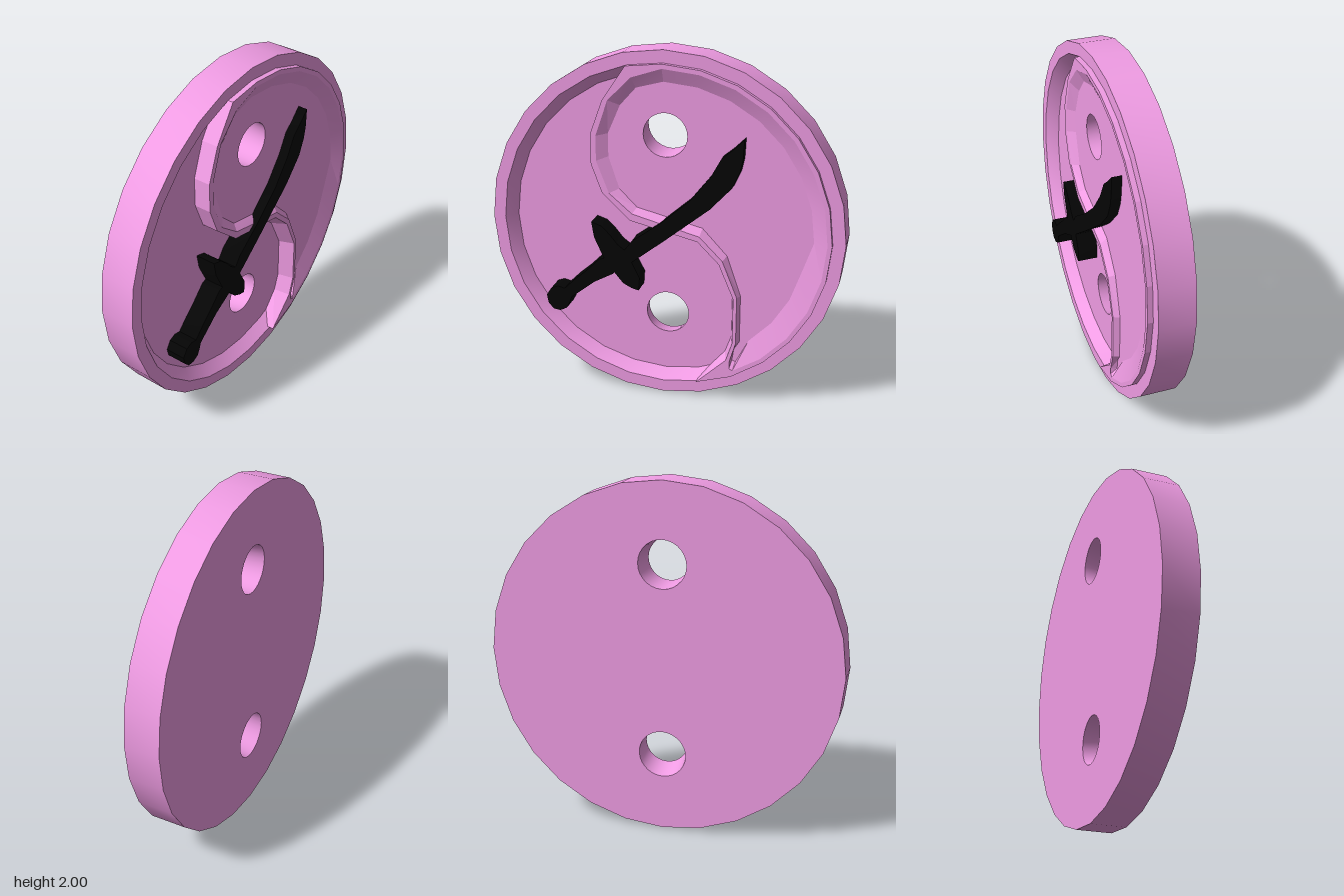
import * as THREE from 'three';
import { toCreasedNormals } from 'three/addons/utils/BufferGeometryUtils.js';

const SIDES = 28, STEP = (2 * Math.PI) / SIDES;
const BACK = -0.125, FLOOR = 0.01, HIGH_FLOOR = 0.07, RIM = 0.075, LIP = 0.105, TOP = 0.125;

// Point on a circle, counted in steps counter-clockwise from the bottom
const polar = (r, j, x = 0, y = 1) => [x + r * Math.sin(j * STEP), y - r * Math.cos(j * STEP)];
const circle = (r, x, y) => Array.from({ length: SIDES }, (_, j) => polar(r, j, x, y));
const toShape = (pts, holes = []) => {
  const shape = new THREE.Shape(pts.map((p) => new THREE.Vector2(...p)));
  shape.holes = holes.map((h) => new THREE.Path(h.map((p) => new THREE.Vector2(...p))));
  return shape;
};
const flat = (pts, holes, z) => new THREE.ShapeGeometry(toShape(pts, holes)).translate(0, 0, z);

// Joins closed counter-clockwise loops of equal length, each at its own depth
function loft(loops, depths) {
  const pos = [], n = loops[0].length;
  for (let k = 0; k < loops.length - 1; k++) {
    for (let i = 0; i < n; i++) {
      const j = (i + 1) % n;
      const a = [...loops[k][i], depths[k]], b = [...loops[k][j], depths[k]];
      const c = [...loops[k + 1][j], depths[k + 1]], d = [...loops[k + 1][i], depths[k + 1]];
      pos.push(...a, ...b, ...c, ...a, ...c, ...d);
    }
  }
  const geo = new THREE.BufferGeometry();
  geo.setAttribute('position', new THREE.Float32BufferAttribute(pos, 3));
  geo.computeVertexNormals();
  return geo;
}

export function createModel() {
  const group = new THREE.Group();
  const pink = new THREE.MeshStandardMaterial({ color: 0xf09ce4 });
  const black = new THREE.MeshStandardMaterial({ color: 0x050505 });
  const add = (name, geo, mat, crease = 0.4) => {
    const mesh = new THREE.Mesh(toCreasedNormals(geo, crease), mat);
    mesh.name = name;
    group.add(mesh);
  };

  // Disc side, rim and the rim's sloping inner wall
  add('rim', loft([circle(1), circle(1), circle(0.93), circle(0.875)], [BACK, RIM, RIM, FLOOR]), pink);

  // Two holes, a little wider at the back
  const backHoles = [circle(0.135, 0, 1.55), circle(0.135, 0, 0.457)];
  const frontHoles = [circle(0.122, 0.01, 1.54), circle(0.122, 0.01, 0.478)];
  add('upperHole', loft([frontHoles[0], backHoles[0]], [HIGH_FLOOR, BACK]), pink);
  add('lowerHole', loft([frontHoles[1], backHoles[1]], [FLOOR, BACK]), pink);

  // Back face, seen from behind
  const back = flat(circle(1).map(([x, y]) => [-x, y]), backHoles.map((h) => h.map(([x, y]) => [-x, y])), 0);
  add('backFace', back.rotateY(Math.PI).translate(0, 0, BACK), pink);

  // Low floor; its upper opening lies hidden below the high floor
  add('lowFloor', flat(circle(0.9), [circle(0.14, 0.005, 1.545), frontHoles[1]], FLOOR), pink);

  // Raised teardrop; each row holds outer edge, inner edge, inner foot
  const upperLobe = [
    [-0.2, 1.91, -0.17, 1.85, -0.15, 1.79],
    [-0.33, 1.72, -0.3, 1.72, -0.24, 1.69],
    [-0.4, 1.53, -0.37, 1.52, -0.31, 1.53],
    [-0.4, 1.36, -0.37, 1.38, -0.31, 1.4],
    [-0.34, 1.2, -0.3, 1.2, -0.25, 1.22],
    [-0.18, 1.05, -0.17, 1.09, -0.15, 1.12],
  ];
  const lowerLobe = [
    [0.2, 0.96, 0.21, 0.99, 0.22, 1.03],
    [0.32, 0.84, 0.34, 0.86, 0.36, 0.88],
    [0.405, 0.64, 0.425, 0.65, 0.44, 0.65],
    [0.405, 0.37, 0.425, 0.37, 0.44, 0.37],
    [0.37, 0.26, 0.39, 0.25, 0.41, 0.32],
  ];
  const tail = [
    [0.2, 0.1, 0.39, 0.21, 0.4, 0.25],
    [0.4, 0.16, 0.41, 0.2, 0.42, 0.24],
  ];
  const outerArc = [];
  for (let j = 3; j <= 14; j++) {
    const foot = j < 7 ? 0.79 : 0.83;
    outerArc.push([...polar(0.93, j), ...polar(0.905, j), ...polar(foot, j)]);
  }
  const rows = [...upperLobe, ...lowerLobe, ...tail, ...outerArc];
  const edge = rows.map((r) => [r[0], r[1]]);
  const inner = rows.map((r) => [r[2], r[3]]);
  const foot = rows.map((r) => [r[4], r[5]]);
  // The lower lobe also slopes on its outside
  const base = rows.map((r) => {
    const k = lowerLobe.includes(r) ? 1.1 : 0;
    return [r[0] + (r[0] - r[2]) * k, r[1] + (r[1] - r[3]) * k];
  });
  add('teardropWall', loft([base, edge, inner, foot], [FLOOR, LIP, LIP, HIGH_FLOOR]), pink, 0.1);
  add('highFloor', flat(foot, [frontHoles[0]], HIGH_FLOOR), pink);

  // Curved sword: blade, guard, grip and pommel in one outline
  const sword = [
    [0.45, 1.56], [0.39, 1.5], [0.33, 1.45], [0.27, 1.34], [0.16, 1.2], [0, 1.06], [-0.17, 0.935],
    [-0.21, 0.88], [-0.25, 0.91], [-0.29, 0.96], [-0.34, 1.01], [-0.4, 1.03], [-0.385, 0.94],
    [-0.33, 0.82], [-0.36, 0.81], [-0.44, 0.73], [-0.51, 0.67], [-0.57, 0.61], [-0.61, 0.62],
    [-0.65, 0.605], [-0.68, 0.56], [-0.67, 0.51], [-0.64, 0.475], [-0.6, 0.47], [-0.56, 0.49],
    [-0.54, 0.53], [-0.53, 0.56], [-0.39, 0.67], [-0.28, 0.73], [-0.27, 0.74], [-0.22, 0.68],
    [-0.17, 0.655], [-0.13, 0.645], [-0.125, 0.72], [-0.17, 0.81], [0.01, 0.95], [0.27, 1.16],
    [0.39, 1.29], [0.43, 1.38], [0.445, 1.45],
  ];
  const blade = new THREE.ExtrudeGeometry(toShape(sword), { depth: TOP - FLOOR, bevelEnabled: false });
  add('sword', blade.translate(0, 0, FLOOR), black, 0.6);

  return group;
}
